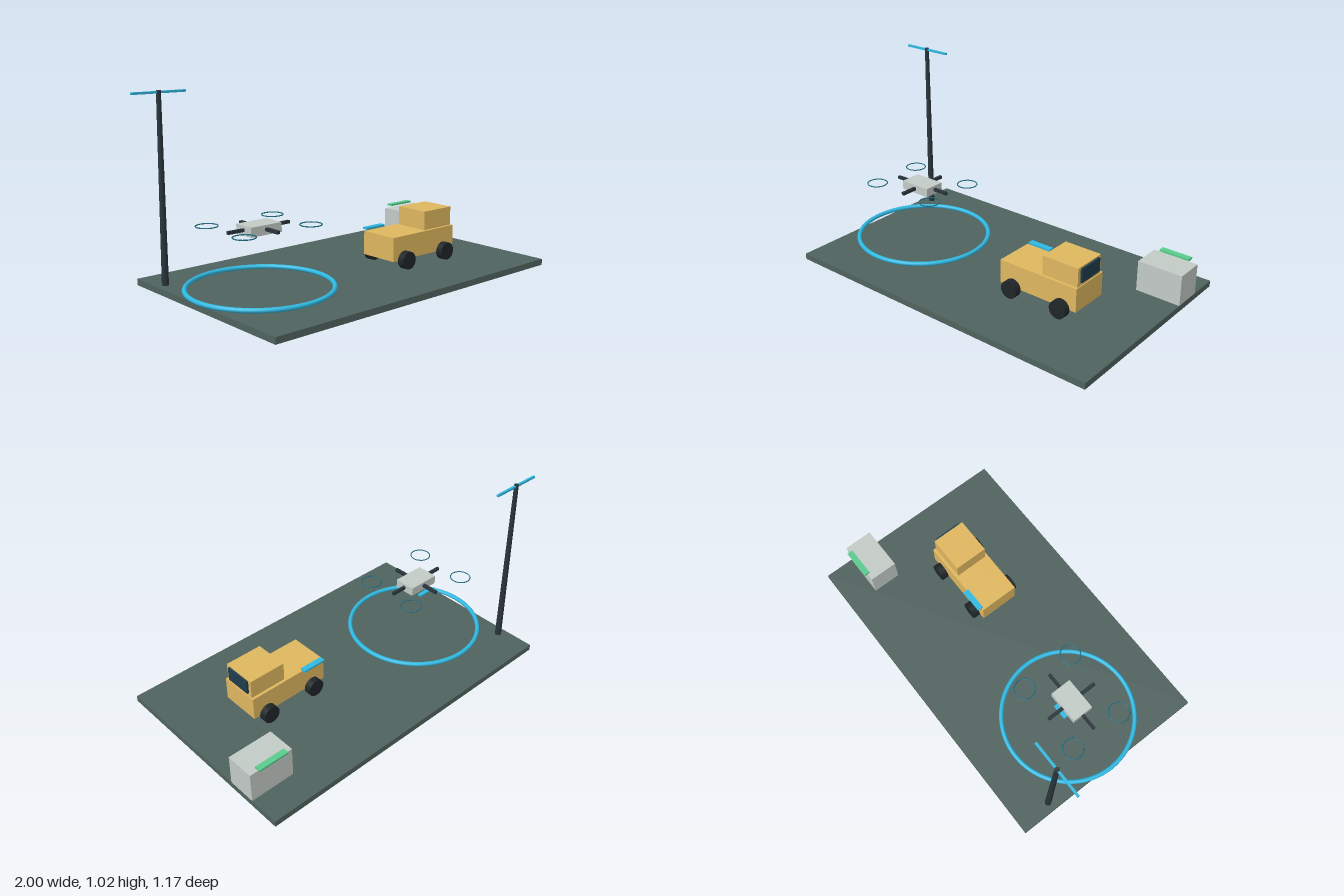
import * as THREE from 'three';

const mat = (color) => new THREE.MeshStandardMaterial({ color });
const GROUND = mat(0x50635e), DARK = mat(0x28343a), TYRE = mat(0x1f2527), GLASS = mat(0x203c4c);
const YELLOW = mat(0xdfb75f), BLUE = mat(0x30b9e2), GREY = mat(0xc3cbc7), GREEN = mat(0x5acb8c);
const TEAL = mat(0x1f6f82);

function add(parent, name, geometry, material, x, y, z) {
  const mesh = new THREE.Mesh(geometry, material);
  mesh.name = name;
  mesh.position.set(x, y, z);
  parent.add(mesh);
  return mesh;
}

// Box given by its lower and upper limits on each axis
function box(parent, name, material, [x0, x1], [y0, y1], [z0, z1]) {
  return add(parent, name, new THREE.BoxGeometry(x1 - x0, y1 - y0, z1 - z0), material,
    (x0 + x1) / 2, (y0 + y1) / 2, (z0 + z1) / 2);
}

// Horizontal ring
function ring(parent, name, material, radius, tube, x, y, z, sides = 10, segments = 72) {
  const geometry = new THREE.TorusGeometry(radius, tube, sides, segments).rotateX(Math.PI / 2);
  return add(parent, name, geometry, material, x, y, z);
}

function group(parent, name, x = 0, y = 0, z = 0) {
  const g = new THREE.Group();
  g.name = name;
  g.position.set(x, y, z);
  parent.add(g);
  return g;
}

export function createModel() {
  const model = new THREE.Group();
  model.name = 'droneStation';

  // Ground slab and landing ring
  box(model, 'platform', GROUND, [-0.9, 1], [0, 0.034], [-0.587, 0.587]);
  ring(model, 'landingRing', BLUE, 0.375, 0.0125, -0.54, 0.051, 0);

  // Tapered mast with crossbar
  const mast = group(model, 'mast', -0.849, 0, -0.391);
  add(mast, 'pole', new THREE.CylinderGeometry(0.012, 0.018, 0.991, 12), DARK, 0, 0.5295, 0);
  box(mast, 'crossbar', BLUE, [-0.151, 0.154], [1.01, 1.022], [-0.006, 0.006]);

  // Drone: body, crossed arms, rotor rings and status light
  const drone = group(model, 'drone', -0.541, 0.354, 0);
  box(drone, 'body', GREY, [-0.094, 0.094], [-0.025, 0.025], [-0.061, 0.061]);
  box(drone, 'crossArm', DARK, [-0.188, 0.188], [-0.004, 0.012], [-0.008, 0.008]).position.y = 0.003;
  box(drone, 'longArm', DARK, [-0.009, 0.009], [-0.005, 0.011], [-0.157, 0.157]);
  for (const sx of [-1, 1]) {
    for (const sz of [-1, 1]) {
      ring(drone, 'rotorRing', TEAL, 0.056, 0.003, sx * 0.203, 0.013, sz * 0.157, 6, 32);
    }
  }
  box(drone, 'statusLight', BLUE, [-0.043, 0.043], [-0.047, -0.037], [-0.082, -0.059]);

  // Pickup truck, driving towards +x
  const truck = group(model, 'truck', 0, 0, 0.086);
  box(truck, 'chassis', YELLOW, [0.2, 0.676], [0.083, 0.215], [-0.114, 0.114]);
  box(truck, 'cab', YELLOW, [0.457, 0.671], [0.215, 0.32], [-0.098, 0.098]);
  box(truck, 'windshield', GLASS, [0.666, 0.682], [0.235, 0.313], [-0.077, 0.077]);
  box(truck, 'sideLight', BLUE, [0.213, 0.35], [0.22, 0.231], [-0.139, -0.106]);
  const wheel = new THREE.CylinderGeometry(0.049, 0.049, 0.04, 24).rotateX(Math.PI / 2);
  for (const x of [0.285, 0.59]) {
    for (const side of [-1, 1]) add(truck, 'wheel', wheel, TYRE, x, 0.083, side * 0.133);
  }

  // Supply crate with indicator strip
  box(model, 'crate', GREY, [0.746, 1], [0.034, 0.205], [-0.416, -0.254]);
  box(model, 'crateIndicator', GREEN, [0.785, 0.957], [0.214, 0.225], [-0.436, -0.402]);

  return model;
}
